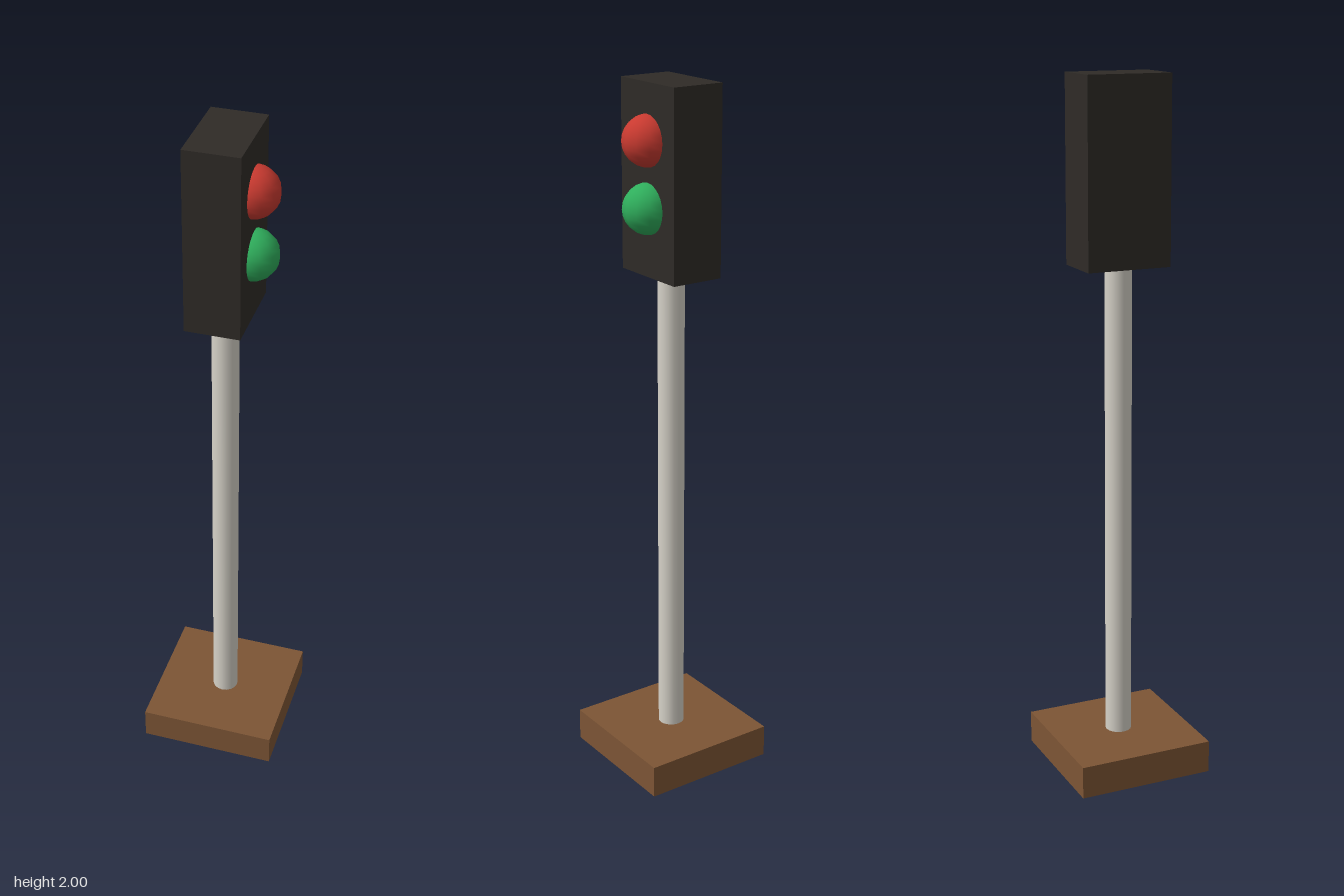
import * as THREE from 'three';

export function createModel() {
  const model = new THREE.Group();

  const add = (name, geometry, color, x, y) => {
    const mesh = new THREE.Mesh(geometry, new THREE.MeshStandardMaterial({ color }));
    mesh.name = name;
    mesh.position.set(x, y, 0);
    model.add(mesh);
  };

  // Square wooden foot and round post
  add('base', new THREE.BoxGeometry(0.4, 0.095, 0.4), 0x7d5535, 0, 0.0475);
  add('post', new THREE.CylinderGeometry(0.038, 0.038, 1.4, 16), 0xd6d2c8, 0, 0.79);

  // Signal housing
  add('housing', new THREE.BoxGeometry(0.153, 0.52, 0.245), 0x2f2b27, 0, 1.74);

  // Lamps, half sunk into the left face of the housing
  const lamp = new THREE.SphereGeometry(0.07, 12, 12);
  add('redLamp', lamp, 0xc93a30, 0.075, 1.848);
  add('greenLamp', lamp, 0x2fae5c, 0.075, 1.667);

  return model;
}
